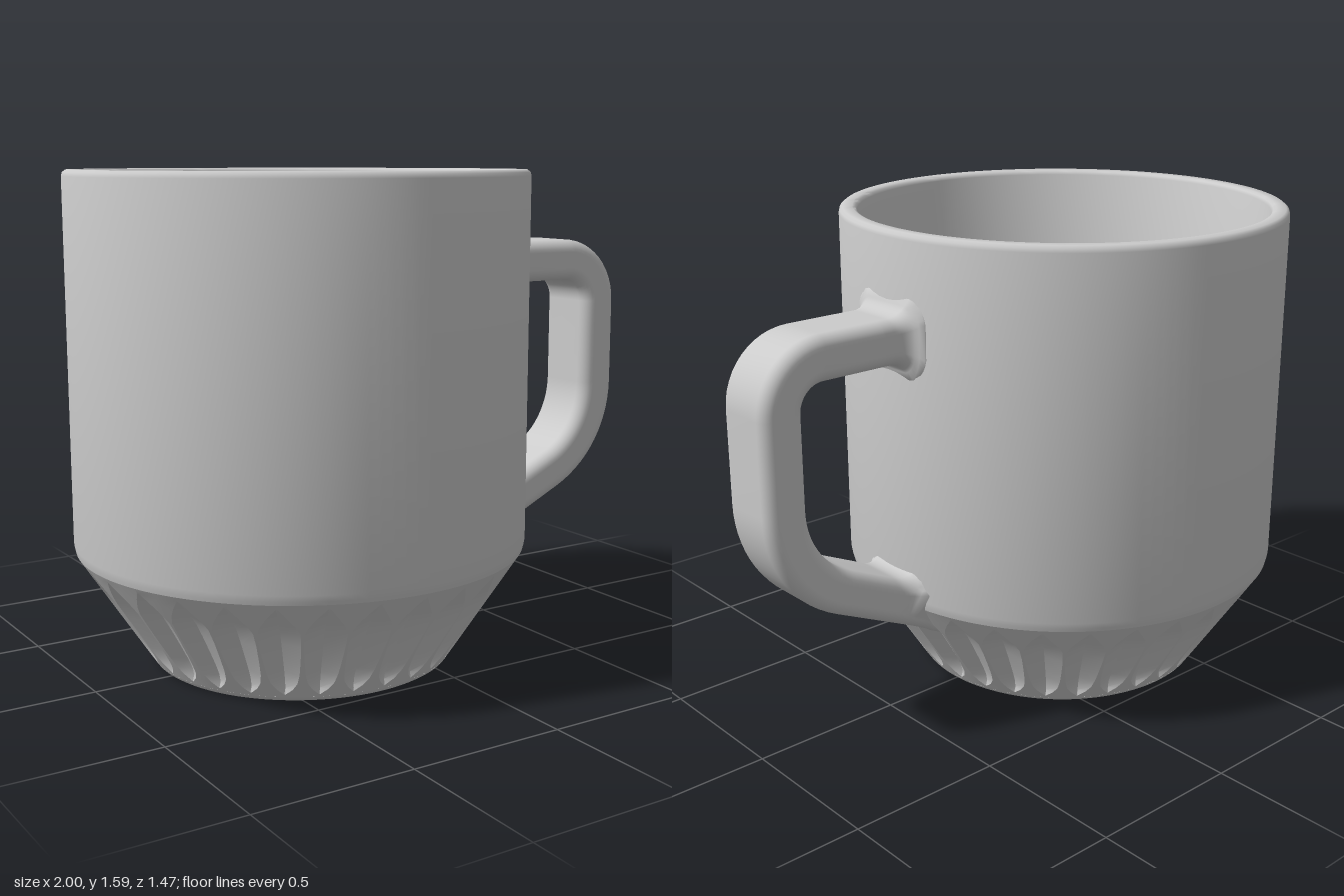
import * as THREE from 'three';
import { toCreasedNormals } from 'three/addons/utils/BufferGeometryUtils.js';

const CX = -0.265;   // axis of the cup
const R = 0.735;     // outer radius
const FLUTES = 30;
const coneR = (y) => Math.min(R, 0.495 + (y - 0.02) * 0.65);

// Closed-loop skin through rows of points (every row has the same count)
function skin(rows) {
  const n = rows[0].length, pos = [], index = [];
  rows.forEach((row) => row.forEach((p) => pos.push(...p)));
  for (let i = 0; i < rows.length - 1; i++) {
    for (let k = 0; k < n; k++) {
      const a = i * n + k, b = i * n + (k + 1) % n;
      index.push(a, b, b + n, a, b + n, a + n);
    }
  }
  const g = new THREE.BufferGeometry();
  g.setAttribute('position', new THREE.Float32BufferAttribute(pos, 3));
  g.setIndex(index);
  g.computeVertexNormals();
  return g;
}

const lathe = (pts) => toCreasedNormals(
  new THREE.LatheGeometry(pts.map(([x, y]) => new THREE.Vector2(x, y)), 120), 0.75);

// Tapered band cut by pointed V-shaped flutes
function flutedBand() {
  const keys = [[0.02, 0], [0.03, 0], [0.05, 0.22], [0.075, 0.36], [0.11, 0.42], [0.16, 0.45],
    [0.22, 0.47], [0.27, 0.46], [0.30, 0.36], [0.335, 0.18], [0.365, 0], [0.38, 0]];
  const pitch = Math.PI * 2 / FLUTES;
  const rows = keys.map(([y, w]) => {
    const row = [];
    for (let f = 0; f < FLUTES; f++) {
      // columns: valley, flank edge, ridge centre, next flank edge
      const edge = Math.max(w, 0.03);
      [0, edge, 0.5, 1 - edge].forEach((u, c) => {
        const r = coneR(y) - (c === 0 ? w * 0.075 : 0);
        const a = (f + u) * pitch;
        row.push([r * Math.sin(a), y, r * Math.cos(a)]);
      });
    }
    return row;
  });
  return toCreasedNormals(skin(rows), 0.32);
}

// Rounded-rectangle section as [across, side] offsets, starting on the outer face
function section(hn, hb, r) {
  const pts = [];
  [[1, 1], [-1, 1], [-1, -1], [1, -1]].forEach(([sn, sb], q) => {
    for (let i = 0; i <= 6; i++) {
      const a = (q + i / 6) * Math.PI / 2;
      pts.push([sn * (hn - r) + r * Math.cos(a), sb * (hb - r) + r * Math.sin(a)]);
    }
  });
  return pts;
}

// Handle swept along straight runs and arcs, flared where it meets the wall
function handleGeometry() {
  const path = [];   // [x, y, direction angle]
  const line = (x0, y0, x1, y1, n) => {
    const dir = Math.atan2(y1 - y0, x1 - x0);
    for (let i = 0; i <= n; i++) {
      path.push([x0 + (x1 - x0) * i / n, y0 + (y1 - y0) * i / n, dir]);
    }
  };
  const arc = (cx, cy, r, a0, a1, n) => {
    for (let i = 1; i < n; i++) {
      const a = a0 + (a1 - a0) * i / n;
      path.push([cx + r * Math.cos(a), cy + r * Math.sin(a), a - Math.PI / 2]);
    }
  };
  const sweep = -65 * Math.PI / 180;
  const ex = 0.585 + 0.34 * Math.cos(sweep), ey = 0.82 + 0.34 * Math.sin(sweep);
  line(0.44, 1.265, 0.57, 1.265, 16);
  line(0.6, 1.265, 0.775, 1.265, 2);
  arc(0.775, 1.115, 0.15, Math.PI / 2, 0, 12);
  line(0.925, 1.115, 0.925, 0.82, 3);
  arc(0.585, 0.82, 0.34, 0, sweep, 14);
  line(ex, ey, 0.32, ey - (ex - 0.32) / Math.tan(-sweep), 32);

  const shape = section(0.071, 0.115, 0.042), fillet = 0.065;
  const rows = path.map(([px, py, dir]) => {
    const nx = -Math.sin(dir), ny = Math.cos(dir);
    return shape.map(([n, b]) => {
      const gap = Math.hypot(px + n * nx - CX, b) - coneR(py + n * ny);
      const s = fillet - Math.min(Math.max(gap, 0), fillet);
      const under = py < 0.8 && n > 0;
      const grow = (fillet - Math.sqrt(fillet * fillet - s * s)) * (under ? 0.1 : 1);
      const len = Math.hypot(n / 0.071, b / 0.115);
      const n2 = n + grow * (n / 0.071) / len, b2 = b + grow * 0.8 * (b / 0.115) / len;
      const y = py + n2 * ny;
      // keep the buried end inside the thickness of the wall
      const wall = CX + Math.sqrt((coneR(y) - 0.02) ** 2 - b2 * b2);
      return [Math.max(px + n2 * nx, wall), y, b2];
    });
  });
  return skin(rows);
}

export function createModel() {
  const group = new THREE.Group();
  const material = new THREE.MeshStandardMaterial({ color: 0xcccccc, side: THREE.DoubleSide });
  const add = (name, geometry, x = 0) => {
    const mesh = new THREE.Mesh(geometry, material);
    mesh.name = name;
    mesh.position.x = x;
    group.add(mesh);
  };

  // Foot ring with a shallow recess underneath
  add('base', lathe([[0, 0.05], [0.3, 0.05], [0.335, 0.043], [0.355, 0.025], [0.37, 0],
    [0.462, 0], [0.477, 0.003], [0.488, 0.01], [0.495, 0.02]]), CX);

  add('flutedBand', flutedBand(), CX);

  // Outer wall, rounded rim, inner wall and bowl-shaped floor
  add('cupWall', lathe([[coneR(0.38), 0.38], [0.732, 0.392], [R, 0.41], [R, 1.565], [0.732, 1.577],
    [0.722, 1.585], [0.69, 1.585], [0.68, 1.58], [0.675, 1.57], [0.67, 0.5], [0.655, 0.4],
    [0.632, 0.34], [0.6, 0.285], [0.56, 0.23], [0.51, 0.183], [0.45, 0.145], [0.38, 0.118],
    [0.3, 0.104], [0.22, 0.1], [0, 0.1]]), CX);

  add('handle', handleGeometry());
  return group;
}
